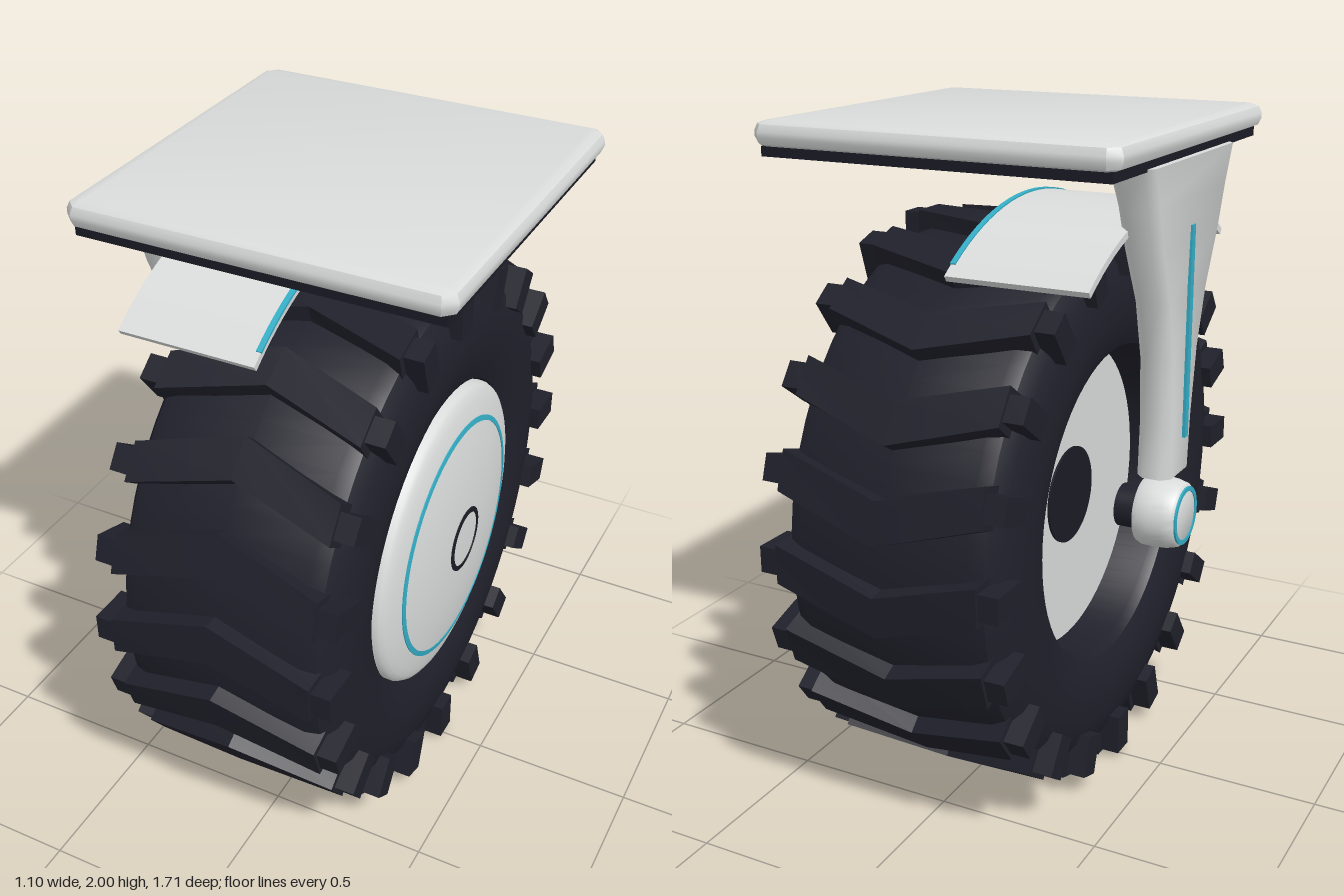
import * as THREE from 'three';
import { toCreasedNormals } from 'three/addons/utils/BufferGeometryUtils.js';

const AXLE_Y = 0.855;

const material = (name, color) => {
  const m = new THREE.MeshStandardMaterial({ color });
  m.name = name;
  return m;
};

// Skin between closed rings of [x, y, z] points, capped at both ends
function loft(rings, crease = 0.5) {
  const n = rings[0].length, index = [];
  for (let i = 0; i < rings.length - 1; i++) {
    for (let j = 0; j < n; j++) {
      const a = i * n + j, b = i * n + (j + 1) % n;
      index.push(a, b, b + n, a, b + n, a + n);
    }
  }
  const e = (rings.length - 1) * n;
  for (let j = 1; j < n - 1; j++) index.push(0, j + 1, j, e, e + j, e + j + 1);
  const g = new THREE.BufferGeometry();
  g.setAttribute('position', new THREE.Float32BufferAttribute(rings.flat(2), 3));
  g.setIndex(index);
  return toCreasedNormals(g, crease);
}

// Revolve [radius, x] points about the wheel axis
function revolve(points, crease = 0.6) {
  const g = new THREE.LatheGeometry(points.map(([r, x]) => new THREE.Vector2(r, x)), 64);
  return toCreasedNormals(g.rotateZ(-Math.PI / 2), crease);
}

// Tread bar through stations of [x, inner radius, outer radius, lean, half width in radians]
function treadBar(stations) {
  return loft(stations.map(([x, r0, r1, lean, w]) =>
    [[r0, -w * 1.15], [r1, -w], [r1, w], [r0, w * 1.15]].map(([r, a]) =>
      [x, r * Math.cos(a + lean), r * Math.sin(a + lean)])), 0.2);
}

// Curved band arching over the wheel along z
function archBand(x0, x1, r0, r1, spread) {
  const rings = [];
  for (let i = 0; i <= 24; i++) {
    const a = spread * (i / 12 - 1), c = Math.cos(a), s = Math.sin(a), cy = 0.923;
    rings.push([[x0, r0], [x1, r0], [x1, r1], [x0, r1]].map(([x, r]) => [x, cy + r * c, r * s]));
  }
  return loft(rings);
}

export function createModel() {
  const model = new THREE.Group();
  model.name = 'casterWheel';
  const shell = material('light grey shell', 0xdadcdc);
  const rubber = material('dark rubber', 0x20202b);
  const dark = material('dark trim', 0x1b1b25);
  const teal = material('teal accent', 0x35aec6);

  const add = (parent, name, geometry, mat, x = 0, y = 0, z = 0) => {
    const mesh = new THREE.Mesh(geometry, mat);
    mesh.name = name;
    mesh.position.set(x, y, z);
    parent.add(mesh);
    return mesh;
  };

  // Wheel, turning about x
  const wheel = new THREE.Group();
  wheel.name = 'wheel';
  wheel.position.y = AXLE_Y;
  model.add(wheel);

  add(wheel, 'tyre', revolve([
    [0.47, -0.29], [0.485, -0.32], [0.53, -0.34], [0.6, -0.35], [0.68, -0.345], [0.74, -0.33],
    [0.785, -0.3], [0.8, -0.26], [0.805, 0], [0.8, 0.26], [0.785, 0.3], [0.74, 0.33],
    [0.68, 0.345], [0.6, 0.35], [0.53, 0.34], [0.485, 0.32], [0.47, 0.29], [0.47, -0.29]]), rubber);

  // Chevron lugs with a narrower block on each shoulder
  const chevron = treadBar([
    [-0.31, 0.76, 0.847, 0, 0.068], [0, 0.76, 0.855, -0.11, 0.072], [0.31, 0.76, 0.847, 0, 0.068]]);
  const block = [-1, 1].map(s => treadBar([s * 0.34 - 0.03, s * 0.34 + 0.03].map(x =>
    [x, 0.71, 0.835, 0, 0.046])));
  const LUGS = 20;
  for (let i = 0; i < LUGS; i++) {
    const lug = new THREE.Group();
    lug.name = 'treadLug';
    lug.rotation.x = i * 2 * Math.PI / LUGS;
    add(lug, 'chevron', chevron, rubber);
    add(lug, 'rightShoulderBlock', block[0], rubber);
    add(lug, 'leftShoulderBlock', block[1], rubber);
    wheel.add(lug);
  }

  // Domed hub cover with flat inlaid rings
  add(wheel, 'hubCover', revolve([
    [0.478, 0.25], [0.478, 0.322], [0.47, 0.337], [0.455, 0.347], [0.43, 0.356], [0.375, 0.369],
    [0.28, 0.384], [0.19, 0.394], [0.095, 0.399], [0, 0.4]], 0.8), shell);
  const inlay = (name, r, x, mat) => add(wheel, name, revolve([
    [r + 0.008, x - 0.008], [r + 0.008, x], [r - 0.008, x + 0.003], [r - 0.008, x - 0.008]]), mat);
  inlay('hubAccentRing', 0.375, 0.37, teal);
  inlay('hubCentreRing', 0.095, 0.4, dark);

  // Recessed inner hub face
  const disc = (r, w) => new THREE.CylinderGeometry(r, r, w, 48).rotateZ(Math.PI / 2);
  add(wheel, 'innerHubFace', disc(0.472, 0.04), shell, -0.15);
  add(wheel, 'hubSocket', disc(0.15, 0.008), dark, -0.173);

  // Stub axle and its rounded end knob
  add(wheel, 'stubAxle', disc(0.065, 0.075), rubber, -0.385);
  add(wheel, 'axleKnob', revolve([
    [0, -0.55], [0.085, -0.55], [0.097, -0.54], [0.105, -0.51], [0.108, -0.47],
    [0.107, -0.435], [0.1, -0.42], [0, -0.42]], 0.7), shell);
  add(wheel, 'knobAccentRing', revolve([
    [0.074, -0.545], [0.074, -0.553], [0.088, -0.553], [0.088, -0.545]]), teal);

  // Mounting plate with bevelled rim
  const h = 0.52, c = 0.015;
  const square = new THREE.Shape([[h, c - h], [h, h - c], [h - c, h], [c - h, h],
    [-h, h - c], [-h, c - h], [c - h, -h], [h - c, -h]].map(p => new THREE.Vector2(...p)));
  const plate = new THREE.ExtrudeGeometry(square, {
    depth: 0.015, bevelThickness: 0.028, bevelSize: 0.03, bevelSegments: 2 });
  add(model, 'mountingPlate', toCreasedNormals(plate.rotateX(-Math.PI / 2), 0.5), shell, 0, 1.957);
  add(model, 'mountingPad', new THREE.BoxGeometry(1.05, 0.028, 1.05), dark, 0, 1.917);

  // Flared side strut: [y, half depth, outer x, inner x]
  const k = 0.025;
  const strut = [
    [0.985, 0.088, -0.525, -0.42], [1.15, 0.092, -0.528, -0.425], [1.35, 0.115, -0.531, -0.43],
    [1.52, 0.16, -0.534, -0.43], [1.68, 0.232, -0.537, -0.425], [1.8, 0.27, -0.54, -0.42],
    [1.91, 0.315, -0.543, -0.41]];
  add(model, 'strut', loft(strut.map(([y, d, xo, xi]) => [
    [xo, y, k - d], [xo, y, d - k], [xo + k, y, d], [xi - k, y, d],
    [xi, y, d - k], [xi, y, k - d], [xi - k, y, -d], [xo + k, y, -d]]), 0.9), shell);
  add(model, 'strutAccent', new THREE.BoxGeometry(0.009, 0.62, 0.024), teal, -0.539, 1.41);

  // Mudguard with a coloured line along its inner top edge
  add(model, 'mudguard', archBand(-0.45, -0.026, 0.83, 0.85, 0.613), shell);
  add(model, 'mudguardAccent', archBand(-0.04, -0.024, 0.846, 0.854, 0.56), teal);

  return model;
}
